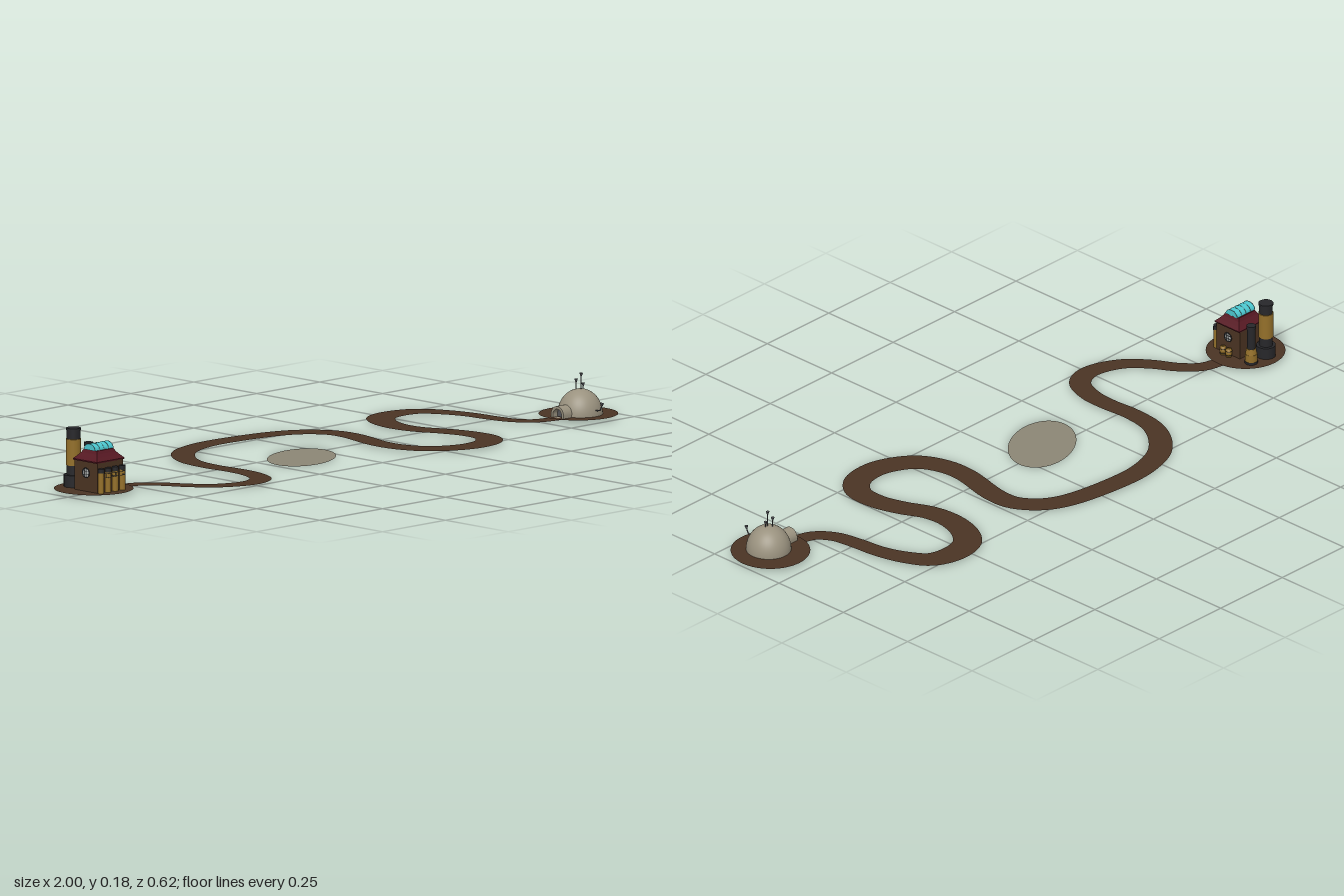
import * as THREE from 'three';

const mat = (color, flat = false) =>
  new THREE.MeshStandardMaterial({ color, flatShading: flat, side: THREE.DoubleSide });
const BROWN = mat(0x4b3424), WALL = mat(0x4b3422), RED = mat(0x561822, true), GOLD = mat(0x94702a),
  DARK = mat(0x27272a), GLASS = mat(0x4cc8d0), STONE = mat(0x9a927f), POND = mat(0x8c8775),
  STEEL = mat(0x55565a), PANE = mat(0xb4b8b6);

function add(parent, name, geometry, material, x = 0, y = 0, z = 0) {
  const mesh = new THREE.Mesh(geometry, material);
  mesh.name = name;
  mesh.position.set(x, y, z);
  parent.add(mesh);
  return mesh;
}

function group(parent, name, x, y, z) {
  const g = new THREE.Group();
  g.name = name;
  g.position.set(x, y, z);
  parent.add(g);
  return g;
}

// upright cylinder standing between two heights
const post = (parent, name, material, r, y0, y1, x, z, rTop = r) =>
  add(parent, name, new THREE.CylinderGeometry(rTop, r, y1 - y0, 24), material, x, (y0 + y1) / 2, z);

const box = (parent, name, material, w, h, d, x, y, z) =>
  add(parent, name, new THREE.BoxGeometry(w, h, d), material, x, y, z);

// flat ellipse lying on the ground
function patch(parent, name, material, rx, rz, x, y, z, turn = 0) {
  const geometry = new THREE.CircleGeometry(1, 64).scale(rx, rz, 1).rotateX(-Math.PI / 2).rotateY(turn);
  return add(parent, name, geometry, material, x, y, z);
}

// flat ribbon along a curve; each control point is [x, z, width]
function ribbon(points, y) {
  const curve = new THREE.CatmullRomCurve3(points.map(([x, z, w]) => new THREE.Vector3(x, w, z)));
  const n = 260, position = [], index = [];
  for (let i = 0; i <= n; i++) {
    const p = curve.getPoint(i / n), t = curve.getTangent(i / n);
    const k = p.y / 2 / Math.hypot(t.x, t.z);
    position.push(p.x + t.z * k, y, p.z - t.x * k, p.x - t.z * k, y, p.z + t.x * k);
    if (i < n) index.push(2 * i, 2 * i + 1, 2 * i + 2, 2 * i + 1, 2 * i + 3, 2 * i + 2);
  }
  const geometry = new THREE.BufferGeometry();
  geometry.setAttribute('position', new THREE.Float32BufferAttribute(position, 3));
  geometry.setIndex(index);
  geometry.computeVertexNormals();
  return geometry;
}

// round lattice window facing +z
function roundWindow(parent, x, y, z, r) {
  const w = group(parent, 'roundWindow', x, y, z);
  add(w, 'pane', new THREE.CircleGeometry(r, 24), PANE);
  add(w, 'windowRim', new THREE.TorusGeometry(r, 0.0015, 6, 24), DARK);
  for (const s of [-1, 1]) {
    box(w, 'windowBar', DARK, 0.001, r * 1.8, 0.001, s * r * 0.35, 0, 0.0005);
    box(w, 'windowBar', DARK, r * 1.8, 0.001, 0.001, 0, s * r * 0.35, 0.0005);
  }
  return w;
}

function barrel(parent, x, z) {
  const profile = [[0, 0], [0.008, 0], [0.0098, 0.012], [0.008, 0.024], [0, 0.024]]
    .map(([r, y]) => new THREE.Vector2(r, y));
  const b = group(parent, 'barrel', x, 0, z);
  add(b, 'staves', new THREE.LatheGeometry(profile, 16), GOLD);
  for (const y of [0.006, 0.018])
    add(b, 'hoop', new THREE.TorusGeometry(0.0093, 0.0007, 6, 16).rotateX(Math.PI / 2), DARK, 0, y, 0);
}

function createFactory(parent) {
  const f = group(parent, 'factory', -0.888, 0.01, 0.01);
  box(f, 'walls', WALL, 0.1, 0.086, 0.092, 0, 0.043, 0);

  // bell-shaped hipped roof, stretched a little along x
  const profile = [[0.047, 0.085], [0.048, 0.089], [0.039, 0.098], [0.031, 0.107], [0.026, 0.116]]
    .map(([r, y]) => new THREE.Vector2(r * Math.SQRT2, y));
  const roof = new THREE.LatheGeometry(profile, 4, Math.PI / 4);
  const p = roof.attributes.position;
  for (let i = 0; i < p.count; i++) p.setX(i, p.getX(i) + Math.sign(p.getX(i)) * 0.007);
  add(f, 'roof', roof, RED);
  box(f, 'roofTop', RED, 0.066, 0.004, 0.052, 0, 0.114, 0);

  // glazed barrel skylight with ribs
  const arch = new THREE.CylinderGeometry(0.022, 0.022, 0.074, 24, 1, false, 0, Math.PI)
    .rotateZ(Math.PI / 2).scale(1, 0.8, 1);
  add(f, 'skylight', arch, GLASS, 0, 0.116, 0);
  for (let i = -2; i <= 2; i++) {
    const rib = new THREE.TorusGeometry(0.022, 0.0007, 6, 20, Math.PI).rotateY(Math.PI / 2).scale(1, 0.8, 1);
    add(f, 'skylightRib', rib, STEEL, i * 0.018, 0.116, 0);
  }

  // side windows
  for (const s of [-1, 1])
    roundWindow(f, s * 0.051, 0.053, 0, 0.0135).rotation.y = s * Math.PI / 2;

  // row of pipes and a railing on the front
  for (const x of [-0.042, -0.014, 0.014, 0.042]) {
    post(f, 'frontPipe', GOLD, 0.0085, 0, 0.059, x, 0.052);
    post(f, 'frontPipeCap', DARK, 0.0095, 0.058, 0.07, x, 0.052);
  }
  for (const y of [0.046, 0.057]) box(f, 'frontRail', STEEL, 0.075, 0.0012, 0.0012, 0, y, 0.069);
  for (const x of [-0.037, 0, 0.037]) {
    box(f, 'railPost', STEEL, 0.0012, 0.012, 0.0012, x, 0.0515, 0.069);
    for (const y of [0.046, 0.057]) box(f, 'railBracket', STEEL, 0.0012, 0.0012, 0.025, x, y, 0.057);
  }

  barrel(f, 0.06, 0.01);
  barrel(f, 0.06, -0.012);

  // tall chimney
  const tall = group(f, 'tallChimney', -0.018, 0, -0.082);
  post(tall, 'chimneyBase', DARK, 0.0275, 0, 0.034, 0, 0);
  post(tall, 'chimneyShaft', DARK, 0.019, 0.03, 0.164, 0, 0);
  post(tall, 'chimneySleeve', GOLD, 0.0215, 0.061, 0.136, 0, 0);
  post(tall, 'chimneyRim', DARK, 0.021, 0.161, 0.167, 0, 0);

  // short chimney
  const short = group(f, 'shortChimney', 0.042, 0, -0.082);
  post(short, 'chimneyFoot', DARK, 0.0185, 0, 0.007, 0, 0);
  post(short, 'chimneyDrum', GOLD, 0.0175, 0.007, 0.029, 0, 0);
  post(short, 'chimneyCollar', GOLD, 0.0165, 0.029, 0.046, 0, 0, 0.0135);
  post(short, 'chimneyShaft', DARK, 0.0115, 0.04, 0.112, 0, 0);
  post(short, 'chimneyRim', DARK, 0.0135, 0.108, 0.118, 0, 0);
}

function createDomeHouse(parent) {
  const d = group(parent, 'domeHouse', 0.886, 0.01, 0.149);
  const shell = new THREE.SphereGeometry(1, 40, 20, 0, Math.PI * 2, 0, Math.PI / 2).scale(0.064, 0.072, 0.064);
  add(d, 'dome', shell, STONE);

  // arched entrance tunnel
  const tunnel = new THREE.Shape();
  tunnel.moveTo(0.025, 0).lineTo(0.025, 0.008).absarc(0, 0.008, 0.025, 0, Math.PI).lineTo(-0.025, 0);
  const hole = new THREE.Path();
  hole.moveTo(0.017, 0).lineTo(0.017, 0.008).absarc(0, 0.008, 0.017, 0, Math.PI).lineTo(-0.017, 0);
  tunnel.holes.push(hole);
  const geometry = new THREE.ExtrudeGeometry(tunnel, { depth: 0.045, bevelEnabled: false, curveSegments: 16 });
  add(d, 'entrance', geometry.rotateY(-Math.PI / 2), STONE, -0.046, 0, 0);
  box(d, 'door', STEEL, 0.002, 0.022, 0.032, -0.072, 0.011, 0);

  // roof horns with flared mouths: [x, z, top]
  for (const [x, z, top] of [[0, 0.004, 0.117], [-0.008, -0.008, 0.1], [0.008, 0.004, 0.088]]) {
    post(d, 'hornPipe', STEEL, 0.0015, 0.066, top - 0.006, x, z);
    post(d, 'hornMouth', STEEL, 0.0015, top - 0.01, top, x, z, 0.005);
  }

  // bent speaking pipe on the front
  const bend = new THREE.CatmullRomCurve3([[0.058, 0.017], [0.07, 0.018], [0.08, 0.021], [0.085, 0.032]]
    .map(([z, y]) => new THREE.Vector3(0, y, z)));
  add(d, 'speakingPipe', new THREE.TubeGeometry(bend, 16, 0.0018, 8), STEEL);
  const mouth = post(d, 'speakingPipeMouth', STEEL, 0.0018, 0.031, 0.041, 0, 0.086, 0.0055);
  mouth.rotation.x = 0.2;
}

export function createModel() {
  const model = new THREE.Group();
  model.name = 'landscape';

  // ground pieces
  patch(model, 'pond', POND, 0.141, 0.093, -0.104, 0, 0.032, 0.52);
  patch(model, 'factoryGround', BROWN, 0.112, 0.112, -0.888, 0.01, -0.01);
  patch(model, 'domeGround', BROWN, 0.112, 0.112, 0.888, 0.01, 0.14);

  const track = [
    [-0.82, -0.005, 0.045], [-0.74, 0.015, 0.048], [-0.69, 0.064, 0.05], [-0.652, 0.128, 0.052],
    [-0.6, 0.187, 0.055], [-0.53, 0.22, 0.06], [-0.476, 0.222, 0.062], [-0.428, 0.193, 0.062],
    [-0.4, 0.123, 0.062], [-0.396, 0.053, 0.06], [-0.401, -0.027, 0.06], [-0.39, -0.118, 0.062],
    [-0.353, -0.187, 0.066], [-0.289, -0.246, 0.068], [-0.198, -0.278, 0.068], [-0.107, -0.284, 0.068],
    [0.086, -0.257, 0.068], [0.16, -0.219, 0.07], [0.207, -0.155, 0.07], [0.212, -0.086, 0.07],
    [0.182, 0.059, 0.07], [0.187, 0.134, 0.074], [0.219, 0.203, 0.078], [0.278, 0.246, 0.08],
    [0.342, 0.264, 0.08], [0.417, 0.251, 0.078], [0.463, 0.203, 0.075], [0.468, 0.128, 0.074],
    [0.447, 0.053, 0.074], [0.412, -0.027, 0.074], [0.406, -0.102, 0.076], [0.428, -0.176, 0.08],
    [0.471, -0.225, 0.082], [0.54, -0.24, 0.082], [0.61, -0.219, 0.075], [0.652, -0.155, 0.066],
    [0.676, -0.08, 0.058], [0.685, 0, 0.055], [0.7, 0.07, 0.052], [0.738, 0.118, 0.05], [0.81, 0.138, 0.05],
  ];
  add(model, 'windingPath', ribbon(track, 0.005), BROWN);

  createFactory(model);
  createDomeHouse(model);
  return model;
}
